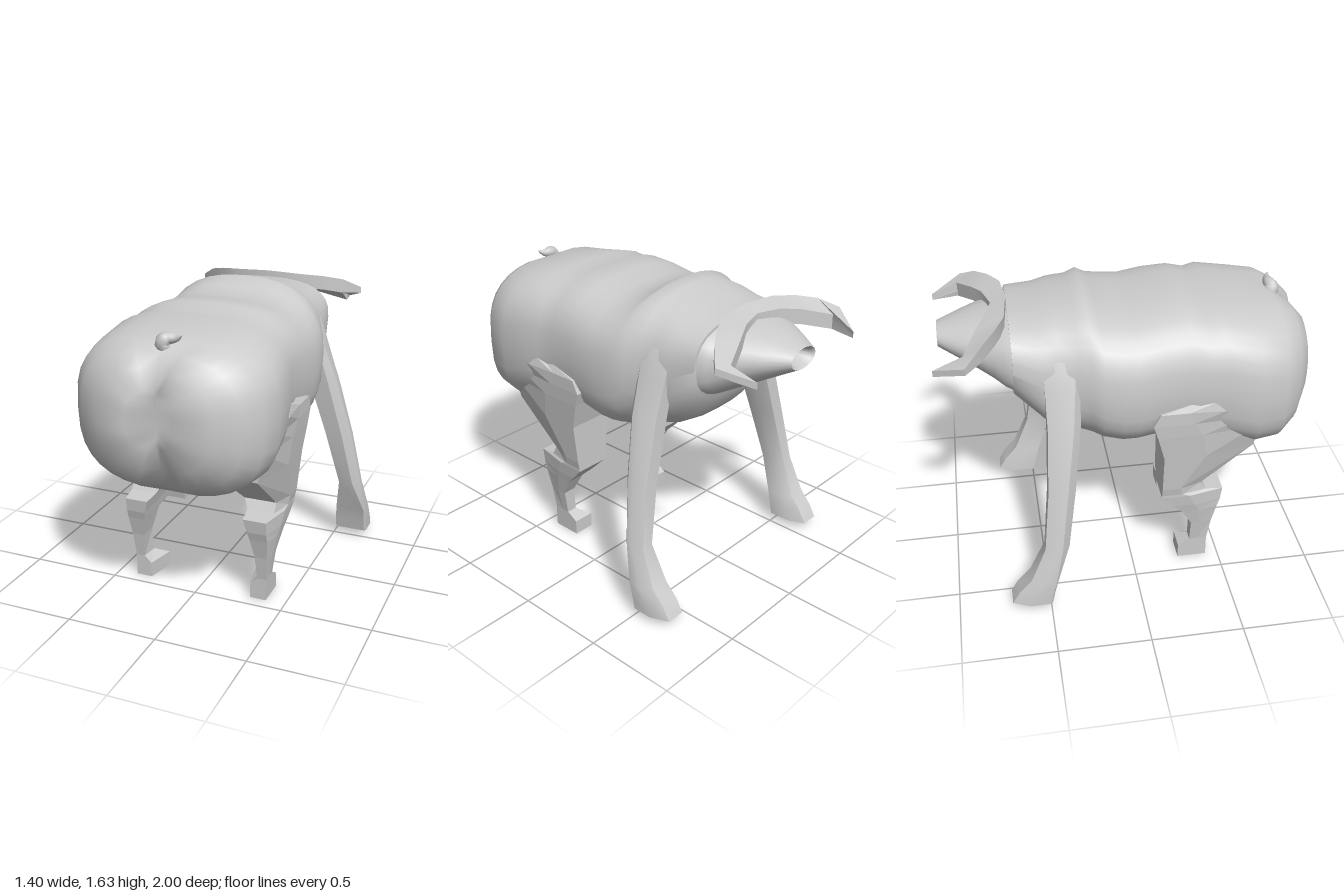
import * as THREE from 'three';
import { toCreasedNormals } from 'three/addons/utils/BufferGeometryUtils.js';

const material = new THREE.MeshStandardMaterial({ color: 0xcccccc, side: THREE.DoubleSide });
const flat = new THREE.MeshStandardMaterial({ color: 0xcccccc, side: THREE.DoubleSide, flatShading: true });

// Skin a series of equal-length rings of [x, y, z] and close both ends.
function loft(rings, crease) {
  const n = rings[0].length, pos = rings.flat(2), index = [];
  const last = rings.length - 1;
  for (let i = 0; i < last; i++) {
    for (let j = 0; j < n; j++) {
      const a = i * n + j, b = i * n + (j + 1) % n;
      index.push(a, b, b + n, a, b + n, a + n);
    }
  }
  for (const end of [0, last]) {
    const centre = pos.length / 3;
    for (let k = 0; k < 3; k++) pos.push(rings[end].reduce((s, p) => s + p[k], 0) / n);
    for (let j = 0; j < n; j++) {
      const a = end * n + j, b = end * n + (j + 1) % n;
      end === 0 ? index.push(centre, b, a) : index.push(centre, a, b);
    }
  }
  // Turn faces outward whatever the ring direction, judged by signed volume.
  const v = (i) => new THREE.Vector3().fromArray(pos, i * 3);
  let volume = 0;
  for (let i = 0; i < index.length; i += 3) volume += v(index[i]).dot(v(index[i + 1]).cross(v(index[i + 2])));
  if (volume < 0) index.reverse();
  const g = new THREE.BufferGeometry();
  g.setAttribute('position', new THREE.Float32BufferAttribute(pos, 3));
  g.setIndex(index);
  g.computeVertexNormals();
  return crease ? toCreasedNormals(g, crease) : g;
}

// Rounded upright section: z, half width, bottom, top, squareness.
function bodyRing([z, w, y0, y1, power = 2.6], sides = 32) {
  const round = (c) => Math.sign(c) * Math.pow(Math.abs(c), 2 / power);
  // V-shaped cleft that deepens toward the end of the rump
  const depth = 0.075 * THREE.MathUtils.clamp((z - 0.75) / 0.2, 0, 1);
  return Array.from({ length: sides }, (_, i) => {
    const a = (i / sides) * Math.PI * 2;
    const x = w * round(Math.sin(a));
    const y = (y0 + y1) / 2 + ((y1 - y0) / 2) * round(Math.cos(a));
    return [x, y, z - depth * Math.max(0, 1 - Math.abs(x) / 0.12)];
  });
}

// Front leg section, bevelled outside and narrowed ahead: y, x range, z range, bevel.
function frontLegRing([y, x0, x1, z0, z1, bevel = 0.01]) {
  const dx = (x1 - x0) * 0.22, zc = z0 + (z1 - z0) * 0.45;
  return [[x0 + dx, y, z0], [x1 - dx, y, z0], [x1, y, zc], [x1, y, z1 - bevel],
    [x1 - bevel, y, z1], [x0, y, z1], [x0, y, zc]];
}

// Rear leg section: y, front x range, back x range, z range.
const rearLegRing = ([y, f0, f1, b0, b1, z0, z1]) =>
  [[f0, y, z0], [f1, y, z0], [f1, y, z0 + (z1 - z0) * 0.45], [b1, y, z1], [b0, y, z1]];

const mirrorX = (ring) => ring.map(([x, y, z]) => [-x, y, z]);

export function createModel() {
  const model = new THREE.Group();
  const add = (name, geometry, mat = material) => {
    const mesh = new THREE.Mesh(geometry, mat);
    mesh.name = name;
    model.add(mesh);
  };

  // Barrel body, from the rump forward to the collar
  add('body', loft([
    [0.995, 0.01, 1.07, 1.28, 2.2],
    [1.0, 0.13, 1.03, 1.32, 2.4],
    [0.95, 0.31, 0.90, 1.42, 2.4],
    [0.88, 0.43, 0.80, 1.49],
    [0.79, 0.50, 0.74, 1.53, 2.8],
    [0.65, 0.53, 0.745, 1.54, 3],
    [0.46, 0.515, 0.80, 1.575, 3],
    [0.39, 0.50, 0.82, 1.56, 3],
    [0.29, 0.49, 0.83, 1.595, 2.8],
    [0.15, 0.495, 0.83, 1.585, 2.8],
    [0.02, 0.50, 0.81, 1.56, 2.8],
    [-0.06, 0.50, 0.81, 1.565, 2.8],
    [-0.16, 0.49, 0.83, 1.585, 2.7],
    [-0.22, 0.475, 0.84, 1.635, 2.4],
    [-0.28, 0.44, 0.86, 1.61, 2.5],
    [-0.38, 0.42, 0.90, 1.595, 2.7],
    [-0.46, 0.41, 0.95, 1.57, 2.7],
    [-0.61, 0.38, 1.13, 1.55, 2.7],
  ].map((s) => bodyRing(s)), 1.35));

  // Head tapering to a snout with a hollow end
  add('head', loft([
    [-0.60, 0.37, 1.14, 1.54, 2.7],
    [-0.65, 0.345, 1.165, 1.53, 2.6],
    [-0.70, 0.30, 1.19, 1.52, 2.3],
    [-0.78, 0.245, 1.235, 1.51, 2.1],
    [-0.86, 0.19, 1.28, 1.49, 2],
    [-0.975, 0.10, 1.345, 1.455, 2],
    [-0.96, 0.08, 1.355, 1.445, 2],
    [-0.88, 0.06, 1.37, 1.43, 2],
  ].map((s) => bodyRing(s, 24)), 0.8));

  // Ears: one band over the brow, each station a back and a front edge
  const earHalf = [
    [[0.51, 1.48, -0.84], [0.40, 1.42, -1.0]],
    [[0.42, 1.535, -0.76], [0.42, 1.47, -0.86]],
    [[0.32, 1.56, -0.69], [0.24, 1.53, -0.78]],
    [[0.20, 1.575, -0.63], [0.14, 1.55, -0.73]],
  ];
  const earStations = [
    ...earHalf,
    [[0, 1.585, -0.61], [0, 1.555, -0.69]],
    ...[...earHalf].reverse().map(mirrorX),
  ];
  add('ears', loft(earStations.map(([b, f], i) => {
    const t = i === 0 || i === earStations.length - 1 ? 0.035 : 0.08;
    return [b, f, [f[0], f[1] - t, f[2]], [b[0], b[1] - t, b[2]]];
  }), 0.6));

  // Legs, mirrored left to right; the front pair melts into the shoulders
  const frontLeg = [
    [0.05, 0.515, 0.70, -0.71, -0.495],
    [0.12, 0.515, 0.70, -0.67, -0.48],
    [0.20, 0.52, 0.70, -0.60, -0.46],
    [0.40, 0.55, 0.67, -0.515, -0.385, 0.04],
    [0.72, 0.47, 0.61, -0.48, -0.335, 0.045],
    [1.06, 0.37, 0.52, -0.46, -0.29, 0.04],
    [1.25, 0.33, 0.45, -0.46, -0.28, 0.03],
    [1.40, 0.29, 0.405, -0.46, -0.28, 0.02],
    [1.50, 0.25, 0.34, -0.45, -0.28],
  ];
  const rearLeg = [
    [0.005, 0.265, 0.39, 0.30, 0.39, 0.265, 0.43],
    [0.09, 0.265, 0.39, 0.30, 0.39, 0.265, 0.43],
    [0.13, 0.33, 0.39, 0.34, 0.39, 0.33, 0.43],
    [0.27, 0.335, 0.41, 0.33, 0.40, 0.33, 0.45],
    [0.38, 0.32, 0.43, 0.31, 0.41, 0.27, 0.475],
    [0.43, 0.28, 0.44, 0.30, 0.41, 0.22, 0.49],
    [0.505, 0.26, 0.45, 0.28, 0.41, 0.15, 0.50],
    [0.52, 0.255, 0.45, 0.27, 0.42, 0.15, 0.40],
    [0.57, 0.24, 0.46, 0.24, 0.42, 0.15, 0.37],
    [0.80, 0.22, 0.485, 0.20, 0.42, 0.15, 0.655],
    [0.95, 0.25, 0.50, 0.22, 0.46, 0.11, 0.65],
    [1.03, 0.28, 0.505, 0.28, 0.49, 0.085, 0.56],
    [1.10, 0.30, 0.505, 0.30, 0.515, 0.12, 0.46],
    [1.15, 0.36, 0.48, 0.36, 0.50, 0.33, 0.41],
  ];
  for (const [side, flip] of [['left', (r) => r], ['right', mirrorX]]) {
    add(side + 'FrontLeg', loft(frontLeg.map((s) => flip(frontLegRing(s))), 0.7));
    add(side + 'RearLeg', loft(rearLeg.map((s) => flip(rearLegRing(s))), 0), flat);
  }

  // Small curled tail, tapering to a point
  const curve = new THREE.CatmullRomCurve3([
    [0.0, 1.48, 0.79], [-0.005, 1.525, 0.81], [0.02, 1.54, 0.80], [0.06, 1.545, 0.80], [0.10, 1.565, 0.815],
  ].map((p) => new THREE.Vector3(...p)));
  const tail = new THREE.TubeGeometry(curve, 20, 0.042, 10);
  const p = new THREE.Vector3();
  for (let i = 0; i < tail.attributes.position.count; i++) {
    const t = tail.attributes.uv.getX(i);
    p.fromBufferAttribute(tail.attributes.position, i).lerp(curve.getPointAt(t), t * t);
    tail.attributes.position.setXYZ(i, p.x, p.y, p.z);
  }
  tail.computeVertexNormals();
  add('tail', tail);

  return model;
}
